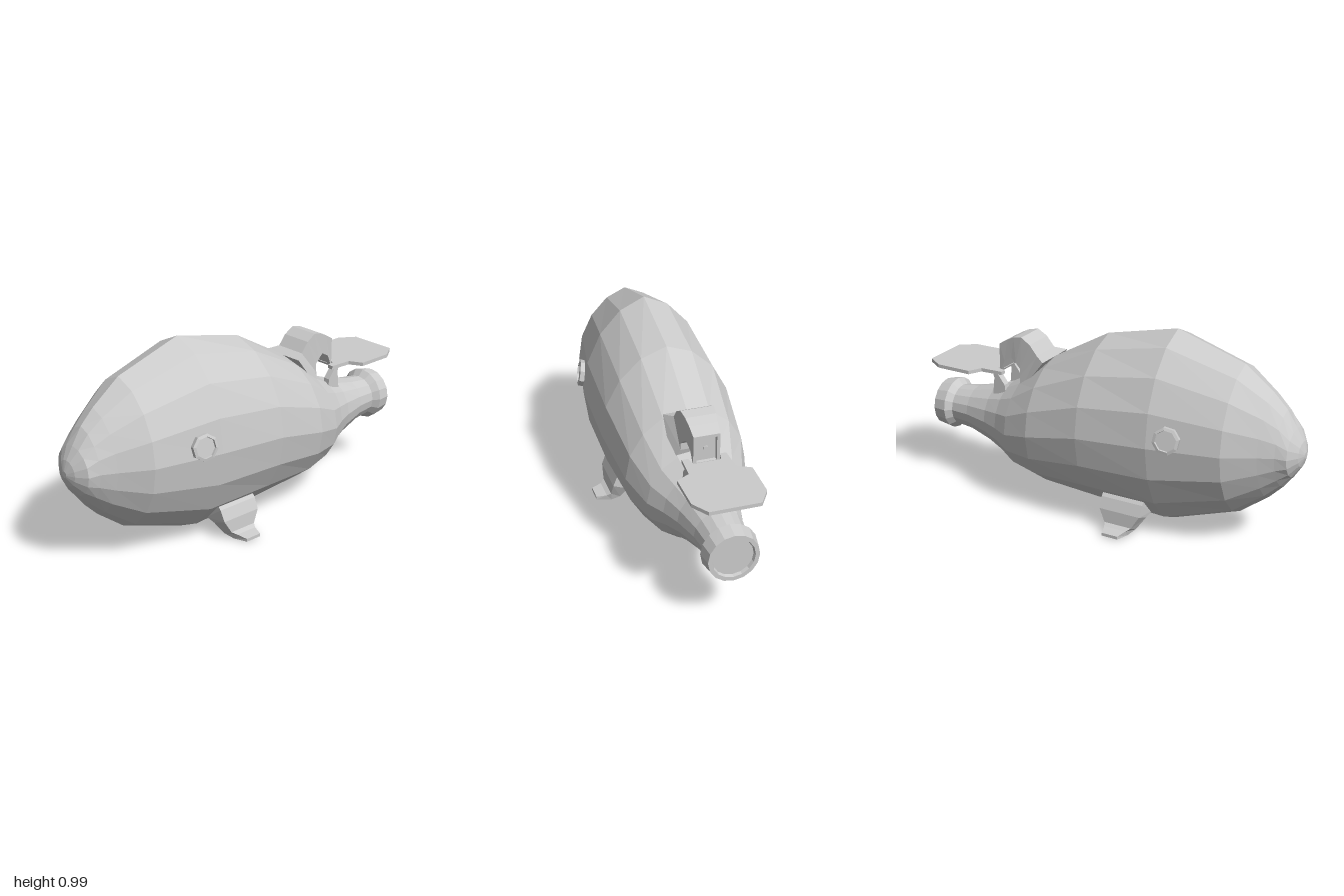
import * as THREE from 'three';

const mat = new THREE.MeshStandardMaterial({ color: 0xcccccc, flatShading: true });

function add(parent, name, geometry) {
  const mesh = new THREE.Mesh(geometry, mat);
  mesh.name = name;
  parent.add(mesh);
  return mesh;
}

// Closed skin over equal-sized rings of [x, y, z], with a fan over each end.
function loft(rings) {
  const n = rings[0].length, tris = [];
  const centre = (r) => [0, 1, 2].map((k) => r.reduce((s, p) => s + p[k], 0) / n);
  const first = centre(rings[0]), last = centre(rings[rings.length - 1]);
  for (let j = 0; j < n; j++) {
    const k = (j + 1) % n;
    for (let i = 0; i < rings.length - 1; i++) {
      const a = rings[i], b = rings[i + 1];
      tris.push([a[j], b[j], b[k]], [a[j], b[k], a[k]]);
    }
    tris.push([first, rings[0][j], rings[0][k]]);
    tris.push([last, rings[rings.length - 1][k], rings[rings.length - 1][j]]);
  }
  // Signed volume tells whether the faces must be turned outward.
  let volume = 0;
  const v = [new THREE.Vector3(), new THREE.Vector3(), new THREE.Vector3()];
  for (const t of tris) {
    t.forEach((p, i) => v[i].fromArray(p));
    volume += v[0].dot(v[1].cross(v[2]));
  }
  if (volume < 0) tris.forEach((t) => t.reverse());
  const geometry = new THREE.BufferGeometry();
  geometry.setAttribute('position', new THREE.Float32BufferAttribute(tris.flat(2), 3));
  geometry.computeVertexNormals();
  return geometry;
}

// Sixteen-sided body section, keeled at top and bottom where it is tall.
function bodyRing([z, top, bottom, w]) {
  const c = (top + bottom) / 2, h = (top - bottom) / 2;
  const keel = THREE.MathUtils.clamp((h / w - 1) / 0.4, 0, 1) * 0.06;
  return Array.from({ length: 16 }, (_, i) => {
    const a = (i * Math.PI) / 8;
    const y = Math.cos(a) - keel * Math.sin(2 * Math.abs(Math.asin(Math.cos(a)))) * Math.sign(Math.cos(a));
    return [Math.sin(a) * w, c + h * y, z];
  });
}

export function createModel() {
  const model = new THREE.Group();
  model.name = 'model';

  // Body: z, top, bottom, half width; the last two rows recess the tail end
  add(model, 'body', loft([
    [1, 0.515, 0.485, 0.015], [0.985, 0.565, 0.44, 0.06], [0.95, 0.625, 0.385, 0.115],
    [0.9, 0.705, 0.32, 0.135], [0.83, 0.775, 0.25, 0.17], [0.685, 0.885, 0.14, 0.252],
    [0.34, 0.995, 0.02, 0.318], [-0.03, 0.91, 0.055, 0.328], [-0.33, 0.74, 0.085, 0.295],
    [-0.49, 0.61, 0.13, 0.24], [-0.58, 0.56, 0.18, 0.19], [-0.67, 0.525, 0.215, 0.152],
    [-0.8, 0.49, 0.255, 0.118], [-0.9, 0.475, 0.265, 0.105], [-0.93, 0.505, 0.24, 0.132],
    [-1, 0.49, 0.25, 0.12], [-1, 0.47, 0.27, 0.1], [-0.985, 0.465, 0.275, 0.095],
  ].map(bodyRing)));

  for (const s of [1, -1]) {
    const side = s > 0 ? 'left' : 'right';

    // Eyes: octagonal rims with a sunken disc
    const rim = [[0, -0.02], [0.066, -0.02], [0.066, 0.012], [0.052, 0.016], [0.05, 0.006], [0, 0.006]];
    const eye = add(model, side + 'Eye', new THREE.LatheGeometry(rim.map((p) => new THREE.Vector2(...p)), 8, Math.PI / 8));
    eye.position.set(s * 0.302, 0.565, 0.44);
    eye.quaternion.setFromUnitVectors(new THREE.Vector3(0, 1, 0), new THREE.Vector3(s, 0.17, 0.2).normalize());

    // Legs: outer x, y, inner x, y, front z, back z, ending in a turned-out foot
    add(model, side + 'Leg', loft([
      [0.215, 0.18, 0.1, 0.11, 0.28, 0.06], [0.228, 0.165, 0.13, 0.095, 0.28, 0.06],
      [0.25, 0.11, 0.175, 0.08, 0.275, 0.06], [0.255, 0.045, 0.208, 0.02, 0.235, 0.09],
      [0.275, 0.033, 0.25, 0.003, 0.215, 0.1], [0.325, 0.024, 0.325, 0.009, 0.2, 0.115],
    ].map(([ox, oy, ix, iy, f, b]) => [[s * ox, oy, f], [s * ox, oy, b], [s * ix, iy, b], [s * ix, iy, f]])));

    // Brackets between the body and the plate
    const bracket = add(model, side + 'Bracket', loft([0.06, 0.095].map((x) => [
      [s * x, 0.53, -0.57], [s * x, 0.57, -0.575], [s * x, 0.63, -0.62], [s * x, 0.63, -0.645],
      [s * x, 0.6, -0.635], [s * x, 0.51, -0.645],
    ])));
    bracket.position.y = -0.002;
  }

  // Arched arm: top z, y, underside z, y, half width; end face is framed
  add(model, 'arm', loft([
    [-0.335, 0.735, -0.47, 0.56, 0.115], [-0.39, 0.75, -0.49, 0.63, 0.08],
    [-0.43, 0.8, -0.49, 0.665, 0.08], [-0.48, 0.83, -0.515, 0.69, 0.078],
    [-0.53, 0.82, -0.545, 0.71, 0.072], [-0.57, 0.8, -0.59, 0.685, 0.067],
    [-0.62, 0.77, -0.62, 0.62, 0.063], [-0.62, 0.755, -0.62, 0.635, 0.048],
    [-0.605, 0.753, -0.605, 0.637, 0.046],
  ].map(([tz, ty, bz, by, w]) => [[-w, ty, tz], [w, ty, tz], [w, by, bz], [-w, by, bz]])));
  const pin = add(model, 'armPin', new THREE.CylinderGeometry(0.014, 0.014, 0.01, 8));
  pin.rotation.x = Math.PI / 2;
  pin.position.set(0, 0.695, -0.607);

  // Flat tail plate, notched around the arm
  const half = [[0.065, -0.63], [0.075, -0.585], [0.105, -0.585], [0.11, -0.7], [0.175, -0.735],
    [0.172, -0.92], [0.12, -1]];
  const outline = [...half, ...half.map(([x, z]) => [-x, z]).reverse()];
  const plate = add(model, 'tailPlate', new THREE.ExtrudeGeometry(
    new THREE.Shape(outline.map(([x, z]) => new THREE.Vector2(x, -z))), { depth: 0.018, bevelEnabled: false }));
  plate.rotation.x = -Math.PI / 2;
  plate.position.y = 0.622;

  return model;
}
